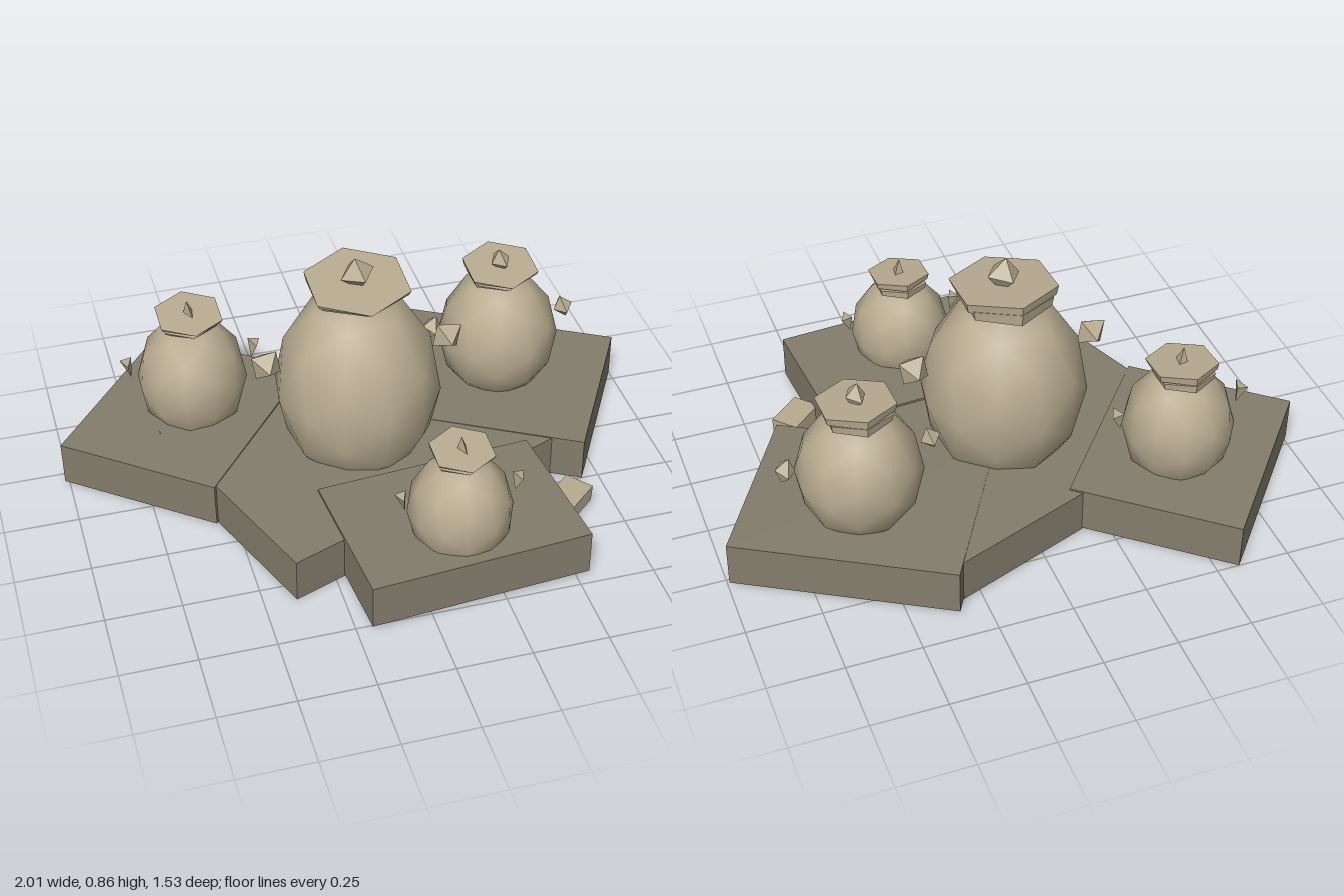
import * as THREE from 'three';

const stone = new THREE.MeshStandardMaterial({ color: 0x837d6c, flatShading: true });
stone.name = 'darkStone';
const clay = new THREE.MeshStandardMaterial({ color: 0xb8ab90 });
clay.name = 'paleClay';
const clayFlat = clay.clone();
clayFlat.name = 'paleClayFaceted';
clayFlat.flatShading = true;

function add(parent, name, geometry, material, pos, rot = [0, 0, 0], scale = [1, 1, 1]) {
  const mesh = new THREE.Mesh(geometry, material);
  mesh.name = name;
  mesh.position.set(...pos);
  mesh.rotation.set(...rot);
  mesh.scale.set(...scale);
  parent.add(mesh);
  return mesh;
}

// Hexagonal plate that is thin at the front and thicker at the back
function capPlate(radius, thickness) {
  const g = new THREE.CylinderGeometry(radius, radius * 0.96, 1, 6);
  const p = g.attributes.position;
  for (let i = 0; i < p.count; i++) {
    const ramp = 0.12 + 0.88 * (radius - p.getZ(i)) / (2 * radius);
    p.setY(i, p.getY(i) * thickness * ramp);
  }
  g.computeVertexNormals();
  return g;
}

const spikeShape = {
  octa: (r) => new THREE.OctahedronGeometry(r),
  tetra: (r) => new THREE.OctahedronGeometry(r).scale(0.75, 1, 1),
  shard: (r) => new THREE.ConeGeometry(r * 0.75, r * 1.5, 3).scale(0.7, 1, 1),
};

// Rounded pod with two cap plates, a crown spike and a spike on either side
function pod(root, o) {
  const g = new THREE.Group();
  g.name = o.name;
  g.position.set(o.x, 0, o.z);
  root.add(g);
  add(g, 'body', new THREE.IcosahedronGeometry(1, 1), clay, [0, o.y, 0], [-0.06, o.turn, 0], [o.r, o.h, o.r]);
  const t = o.cap * 0.24;
  add(g, 'upperCap', capPlate(o.cap, t), clayFlat, [0, o.capY, 0], [0.04, 0, 0]);
  add(g, 'lowerCap', capPlate(o.cap * 0.87, t), clayFlat, [0, o.capY - 0.03, -o.cap * 0.12], [0.05, 0, 0.02]);
  add(g, 'crownSpike', spikeShape[o.spike](o.spikeR), clayFlat, [0, o.crownY, 0], [0, 0.2, 0.15]);
  for (const s of [-1, 1]) {
    const tilt = o.spike === 'octa' ? 0.62 : o.spike === 'tetra' ? 0.3 : Math.PI - 0.2;
    add(g, s < 0 ? 'rightSpike' : 'leftSpike', spikeShape[o.spike](o.spikeR), clayFlat,
      [s * o.side, o.sideY, 0], [0, 0, s * tilt]);
  }
}

export function createModel() {
  const root = new THREE.Group();
  root.name = 'podCluster';

  // Overlapping stone slabs: centre, width, depth, turn, small tilt
  const slabs = [
    ['centreSlab', [-0.03, 0.084, -0.015], 1.1, 0.85, 0.36, 0.002, 0],
    ['rightSlab', [-0.57, 0.085, -0.3], 0.58, 0.7, -0.68, -0.004, 0.014],
    ['leftSlab', [0.515, 0.088, -0.195], 0.75, 0.62, -0.52, 0.004, 0.006],
    ['frontSlab', [0.15, 0.093, 0.485], 0.745, 0.515, 0.08, -0.008, 0],
  ];
  for (const [name, pos, w, d, turn, rx, rz] of slabs) {
    const slab = add(root, name, new THREE.BoxGeometry(w, 0.155, d), stone, pos);
    slab.rotation.set(rx, turn, rz, 'XZY');
  }

  // Four pods of different sizes
  pod(root, { name: 'largePod', x: -0.03, z: -0.02, r: 0.28, y: 0.365, h: 0.365, turn: 0.12, cap: 0.18, capY: 0.757,
    crownY: 0.8, spike: 'octa', spikeR: 0.06, side: 0.31, sideY: 0.495 });
  pod(root, { name: 'mediumPod', x: 0.535, z: -0.23, r: 0.208, y: 0.32, h: 0.24, turn: 0.25, cap: 0.133, capY: 0.587,
    crownY: 0.615, spike: 'tetra', spikeR: 0.046, side: 0.24, sideY: 0.38 });
  pod(root, { name: 'backPod', x: -0.535, z: -0.32, r: 0.188, y: 0.28, h: 0.23, turn: -0.3, cap: 0.12, capY: 0.527,
    crownY: 0.555, spike: 'shard', spikeR: 0.045, side: 0.215, sideY: 0.345 });
  pod(root, { name: 'smallPod', x: 0.15, z: 0.55, r: 0.172, y: 0.245, h: 0.2, turn: 0.4, cap: 0.108, capY: 0.472,
    crownY: 0.5, spike: 'shard', spikeR: 0.042, side: 0.19, sideY: 0.305 });

  // Loose pebble beside the slabs
  add(root, 'pebble', new THREE.BoxGeometry(0.14, 0.06, 0.1), clayFlat, [0.585, 0.056, 0.4], [0.05, 0.72, -0.05]);
  return root;
}
